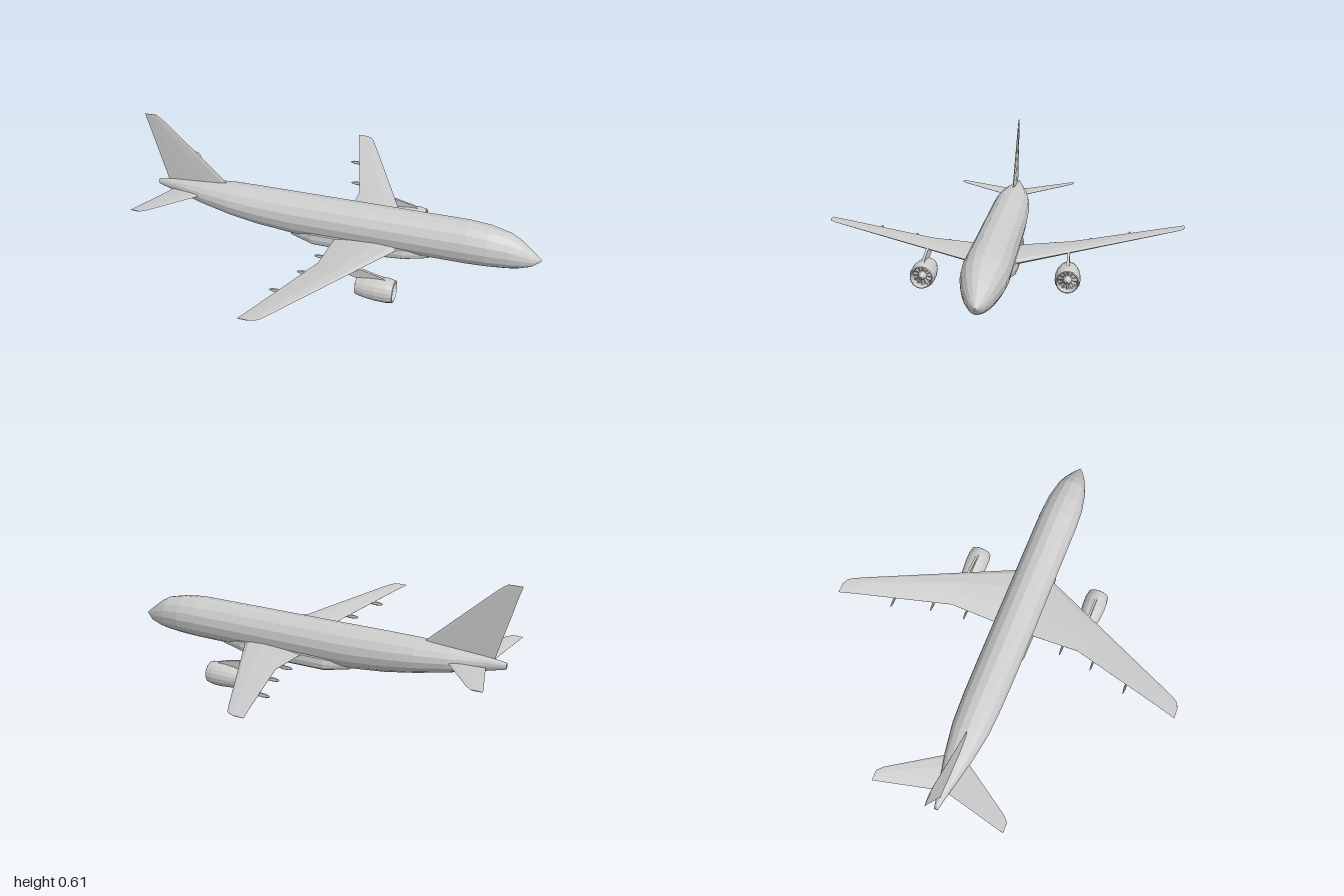
import * as THREE from 'three';

const paint = new THREE.MeshStandardMaterial({ color: 0xcccccc, flatShading: true });
paint.name = 'light grey paint';

// Skin a row of closed rings; each ring runs counter-clockwise about the loft direction
function loft(rings) {
  const n = rings[0].length, last = (rings.length - 1) * n, index = [];
  for (let i = 0; i < rings.length - 1; i++) {
    for (let k = 0; k < n; k++) {
      const a = i * n + k, b = i * n + (k + 1) % n;
      index.push(a, b, a + n, b, b + n, a + n);
    }
  }
  for (let k = 1; k < n - 1; k++) {
    index.push(0, k + 1, k, last, last + k, last + k + 1);
  }
  const geo = new THREE.BufferGeometry();
  geo.setAttribute('position', new THREE.Float32BufferAttribute(rings.flat(2), 3));
  geo.setIndex(index);
  geo.computeVertexNormals();
  return geo;
}

// Body lofted along x from [x, bottom, top, halfWidth]; power < 1 squares the section
function body(sections, sides, power = 1) {
  const bend = (v) => Math.sign(v) * Math.abs(v) ** power;
  return loft(sections.map(([x, y0, y1, w]) =>
    Array.from({ length: sides }, (_, k) => {
      const a = (k / sides) * Math.PI * 2;
      return [x, (y0 + y1) / 2 + bend(Math.cos(a)) * (y1 - y0) / 2, bend(Math.sin(a)) * w];
    })));
}

// Aerofoil surface from [span, leadingX, trailingX, height, thickness]
const FOIL = [[0, 0], [0.08, 0.35], [0.35, 0.5], [0.7, 0.3], [1, 0.02],
  [1, -0.02], [0.7, -0.3], [0.35, -0.5], [0.08, -0.35]];
function foil(sections, side = 1) {
  return loft(sections.map(([s, lead, trail, y, t]) => {
    const ring = FOIL.map(([c, h]) => [lead + (trail - lead) * c, y + h * t, s * side]);
    return side > 0 ? ring : ring.reverse();
  }));
}

const WING = [
  [0.03, 0.367, 0.02, 0.118, 0.04],
  [0.11, 0.326, 0.02, 0.126, 0.036],
  [0.34, 0.211, 0.02, 0.148, 0.024],
  [0.80, -0.02, -0.117, 0.192, 0.01],
  [0.86, -0.052, -0.136, 0.197, 0.007],
  [0.878, -0.068, -0.142, 0.199, 0.005],
  [0.888, -0.095, -0.145, 0.2, 0.003],
];
const STABILISER = [
  [0.01, -0.68, -0.87, 0.213, 0.016],
  [0.085, -0.727, -0.888, 0.22, 0.013],
  [0.30, -0.87, -0.942, 0.243, 0.006],
  [0.326, -0.897, -0.948, 0.246, 0.004],
];
const FIN = [
  [0.25, -0.55, -0.905, 0, 0.014],
  [0.28, -0.575, -0.911, 0, 0.013],
  [0.56, -0.873, -0.986, 0, 0.007],
  [0.595, -0.912, -0.996, 0, 0.006],
  [0.61, -0.935, -1.0, 0, 0.004],
];

// Nacelle profile [radius, x]: tail cone, bypass duct, cowl, intake, spinner
const NACELLE = [[0, 0.19], [0.024, 0.235], [0.038, 0.235], [0.044, 0.205], [0.053, 0.25],
  [0.058, 0.30], [0.058, 0.35], [0.052, 0.382], [0.048, 0.385], [0.044, 0.375],
  [0.044, 0.335], [0.022, 0.338], [0.014, 0.365], [0, 0.38]];

export function createModel() {
  const plane = new THREE.Group();
  plane.name = 'airliner';
  const add = (name, geo, parent = plane) => {
    const mesh = new THREE.Mesh(geo, paint);
    mesh.name = name;
    parent.add(mesh);
    return mesh;
  };

  add('fuselage', body([
    [-0.96, 0.216, 0.248, 0.01],
    [-0.86, 0.19, 0.262, 0.03],
    [-0.7, 0.152, 0.276, 0.068],
    [-0.55, 0.12, 0.285, 0.092],
    [-0.4, 0.093, 0.286, 0.1],
    [-0.2, 0.071, 0.286, 0.103],
    [0.65, 0.071, 0.286, 0.103],
    [0.75, 0.074, 0.277, 0.097],
    [0.85, 0.08, 0.254, 0.078],
    [0.9, 0.087, 0.226, 0.062],
    [0.96, 0.104, 0.178, 0.034],
    [1.0, 0.136, 0.146, 0.004],
  ], 16));

  // Flat-bottomed fairing where the wings meet the belly
  add('bellyFairing', body([
    [-0.22, 0.075, 0.12, 0.06],
    [-0.1, 0.055, 0.145, 0.1],
    [0.25, 0.055, 0.15, 0.106],
    [0.36, 0.062, 0.145, 0.1],
    [0.48, 0.075, 0.12, 0.06],
  ], 16, 0.6));

  const fin = foil(FIN);
  fin.rotateX(-Math.PI / 2);
  add('tailFin', fin);

  for (const side of [1, -1]) {
    // The nose points to +x, so +z is the starboard half
    const half = side > 0 ? 'starboard' : 'port';
    add(half + 'Wing', foil(WING, side));
    add(half + 'Stabiliser', foil(STABILISER, side));

    // Engine with intake, fan blades and pylon
    const engine = new THREE.Group();
    engine.name = half + 'Engine';
    engine.position.set(0, 0.058, side * 0.33);
    plane.add(engine);
    const shell = new THREE.LatheGeometry(NACELLE.map(([r, x]) => new THREE.Vector2(r, x)), 18);
    shell.rotateZ(-Math.PI / 2);
    add('nacelle', shell, engine);
    for (let i = 0; i < 12; i++) {
      const blade = new THREE.BoxGeometry(0.012, 0.026, 0.003);
      blade.rotateY(0.6);
      blade.translate(0.345, 0.032, 0);
      blade.rotateX((i / 12) * Math.PI * 2);
      add('fanBlade', blade, engine);
    }
    const outline = [[0.35, 0.052], [0.32, 0.068], [0.22, 0.092], [0.09, 0.085], [0.17, 0.05], [0.23, 0.035]];
    const pylon = new THREE.ExtrudeGeometry(
      new THREE.Shape(outline.map(([x, y]) => new THREE.Vector2(x, y))),
      { depth: 0.012, bevelEnabled: false });
    pylon.translate(0, 0, -0.006);
    add('pylon', pylon, engine);

    // Flap track fairings under the trailing edge: [x, y, z]
    for (const [x, y, z] of [[0.015, 0.127, 0.26], [-0.01, 0.146, 0.43], [-0.07, 0.166, 0.62]]) {
      const pod = new THREE.SphereGeometry(1, 8, 6);
      pod.rotateZ(Math.PI / 2);
      pod.scale(0.042, 0.011, 0.006);
      add('flapFairing', pod.translate(x, y, z * side));
    }
  }
  return plane;
}
